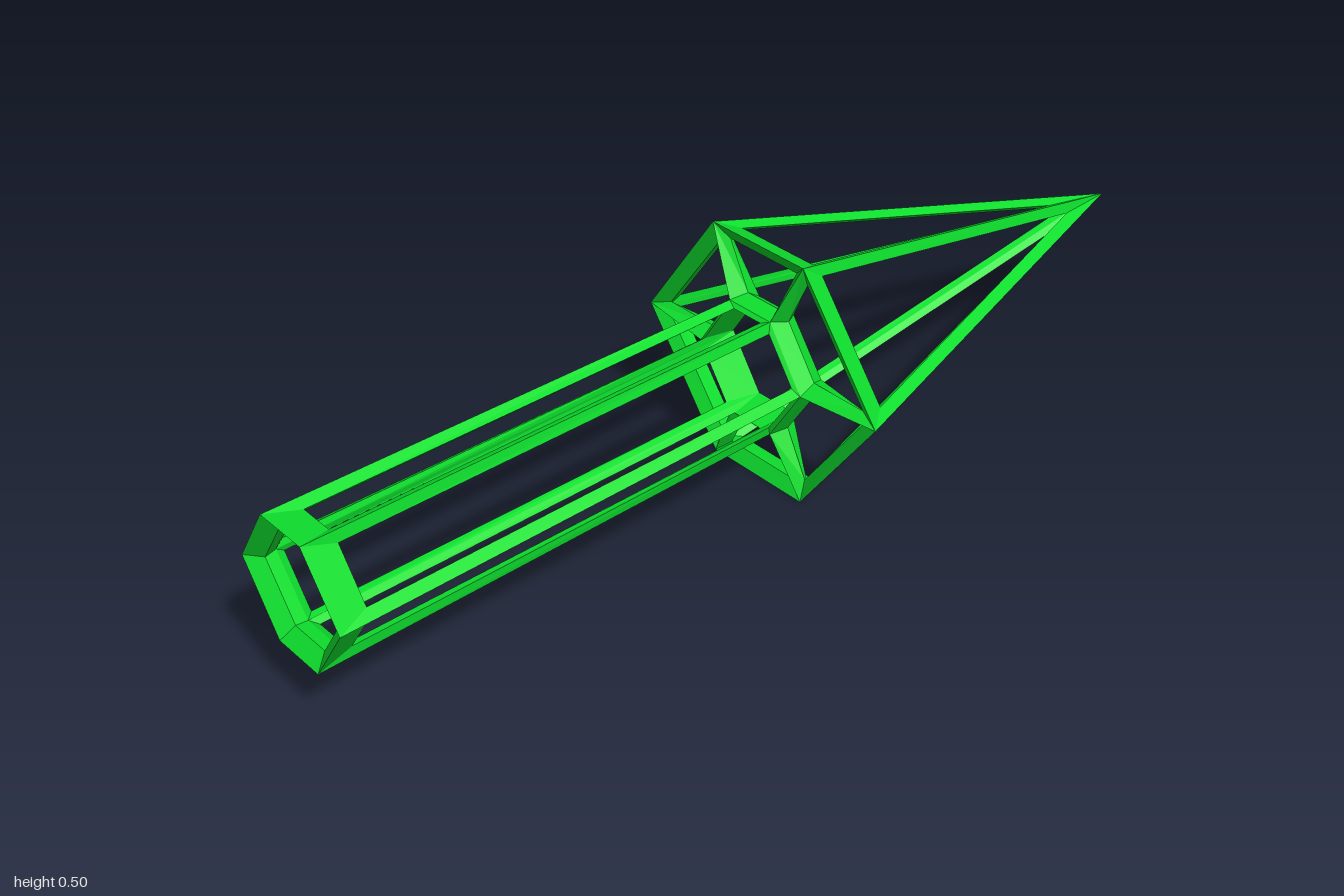
import * as THREE from 'three';

const STRETCH = 2.6;   // the frame is stretched along its length
const T = 0.0155;      // half thickness of the bars
const CENTRE_Y = 0.2525;

// Hexagon of corners across the length: z is the side corner, zt and y the top ones
function ring(x, z, zt, y) {
  return [[-z, 0], [-zt, y], [zt, y], [z, 0], [zt, -y], [-zt, -y]]
    .map(([pz, py]) => new THREE.Vector3(x / STRETCH, py, pz));
}

// Direction from a corner along the two edges of its face
function cornerEdges(verts, face, i) {
  const n = face.length, v = verts[face[i]];
  return {
    prev: verts[face[(i + n - 1) % n]].clone().sub(v).normalize(),
    next: verts[face[(i + 1) % n]].clone().sub(v).normalize(),
  };
}

// Corner normals, weighted by the angle of each face
function cornerNormals(verts, faces) {
  const normals = verts.map(() => new THREE.Vector3());
  for (const face of faces) {
    face.forEach((id, i) => {
      const { prev, next } = cornerEdges(verts, face, i);
      const n = next.clone().cross(prev).normalize();
      normals[id].addScaledVector(n, next.angleTo(prev));
    });
  }
  return normals.map((n) => n.normalize());
}

// Turns the edges of some faces into bars, each face carrying its half of every bar
function frameGeometry(verts, normals, faces) {
  const pos = [];
  const quad = (a, b, c, d) => {
    for (const p of [a, b, c, a, c, d]) pos.push(p.x * STRETCH, p.y, p.z);
  };
  for (const face of faces) {
    const n = face.length;
    const inset = face.map((id, i) => {
      const { prev, next } = cornerEdges(verts, face, i);
      const half = next.angleTo(prev) / 2;
      const dir = prev.add(next).normalize();
      return verts[id].clone().addScaledVector(dir, T / Math.sin(half));
    });
    const outer = face.map((id) => verts[id].clone().addScaledVector(normals[id], T));
    const inner = face.map((id) => verts[id].clone().addScaledVector(normals[id], -T));
    for (let i = 0; i < n; i++) {
      const j = (i + 1) % n;
      quad(outer[i], outer[j], inset[j], inset[i]);
      quad(inner[j], inner[i], inset[i], inset[j]);
    }
  }
  const geo = new THREE.BufferGeometry();
  geo.setAttribute('position', new THREE.Float32BufferAttribute(pos, 3));
  geo.computeVertexNormals();
  return geo;
}

export function createModel() {
  const group = new THREE.Group();
  group.name = 'arrowFrame';
  const material = new THREE.MeshStandardMaterial({ color: 0x0ee02e, flatShading: true });

  // Corners: tail, neck and barb hexagons, then the tip
  const verts = [
    ...ring(-0.98, 0.13, 0.051, 0.116),
    ...ring(0.012, 0.127, 0.05, 0.114),
    ...ring(0.012, 0.29, 0.112, 0.239),
    new THREE.Vector3(0.955 / STRETCH, 0, 0),
  ];
  const TIP = 18;

  // Faces whose edges become bars
  const sides = [0, 1, 2, 3, 4, 5];
  const band = (a, b) => sides.map((k) => {
    const m = (k + 1) % 6;
    return [a + k, a + m, b + m, b + k];
  });
  const parts = {
    tailRing: [[5, 4, 3, 2, 1, 0]],
    shaftFrame: band(0, 6),
    collarFrame: band(6, 12),
    headFrame: sides.map((k) => [12 + k, 12 + (k + 1) % 6, TIP]),
  };

  const normals = cornerNormals(verts, Object.values(parts).flat());
  for (const [name, faces] of Object.entries(parts)) {
    const mesh = new THREE.Mesh(frameGeometry(verts, normals, faces), material);
    mesh.name = name;
    mesh.position.y = CENTRE_Y;
    group.add(mesh);
  }
  return group;
}
